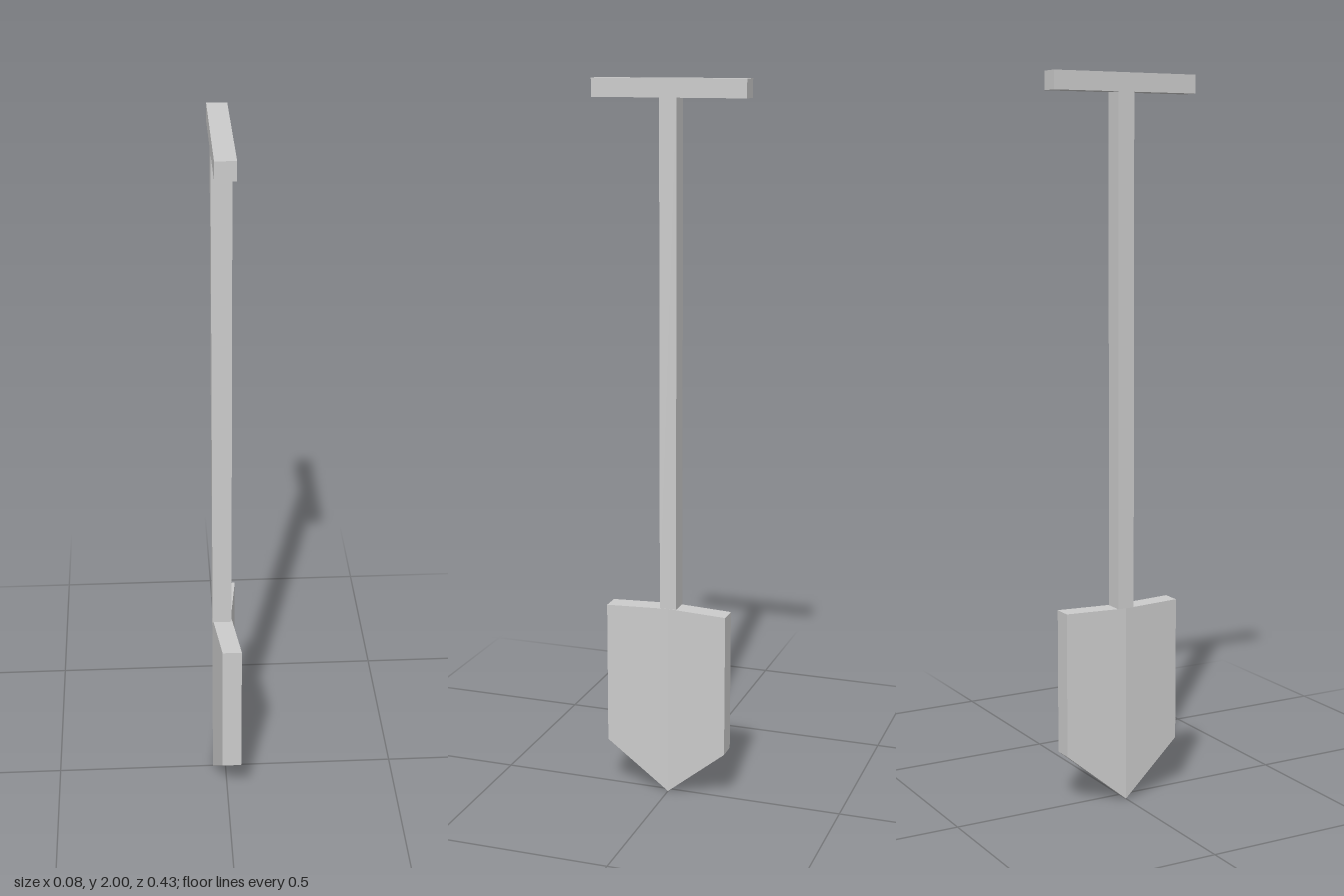
import * as THREE from 'three';

const THICK = 0.054;     // shared thickness of all parts along x
const CENTER_X = -0.011; // shaft axis
const BLADE = { halfWidth: 0.174, top: 0.55, shoulder: 0.145, bend: 0.021 };

export function createModel() {
  const group = new THREE.Group();
  const material = new THREE.MeshStandardMaterial({ color: 0xcccccc, flatShading: true });

  const add = (name, geometry, y) => {
    const mesh = new THREE.Mesh(geometry, material);
    mesh.name = name;
    mesh.position.set(CENTER_X, y, 0);
    group.add(mesh);
  };

  // Crossbar grip and square shaft
  add('grip', new THREE.BoxGeometry(THICK, 0.05, 0.43), 1.975);
  add('shaft', new THREE.BoxGeometry(THICK, 1.4, 0.048), 1.25);

  // Blade: a box split down the middle, its centre pulled to a point
  // and its two wings bent towards +x
  const height = BLADE.top - BLADE.shoulder;
  const box = new THREE.BoxGeometry(THICK, height, BLADE.halfWidth * 2, 1, 1, 2);
  box.translate(0, BLADE.shoulder + height / 2, 0);
  const p = box.attributes.position;
  for (let i = 0; i < p.count; i++) {
    const across = Math.abs(p.getZ(i)) / BLADE.halfWidth;
    p.setX(i, p.getX(i) + BLADE.bend * across);
    if (across < 0.01 && p.getY(i) < BLADE.top - 0.01) p.setY(i, 0);
  }
  const blade = box.toNonIndexed();
  blade.computeVertexNormals();
  add('blade', blade, 0);

  return group;
}
